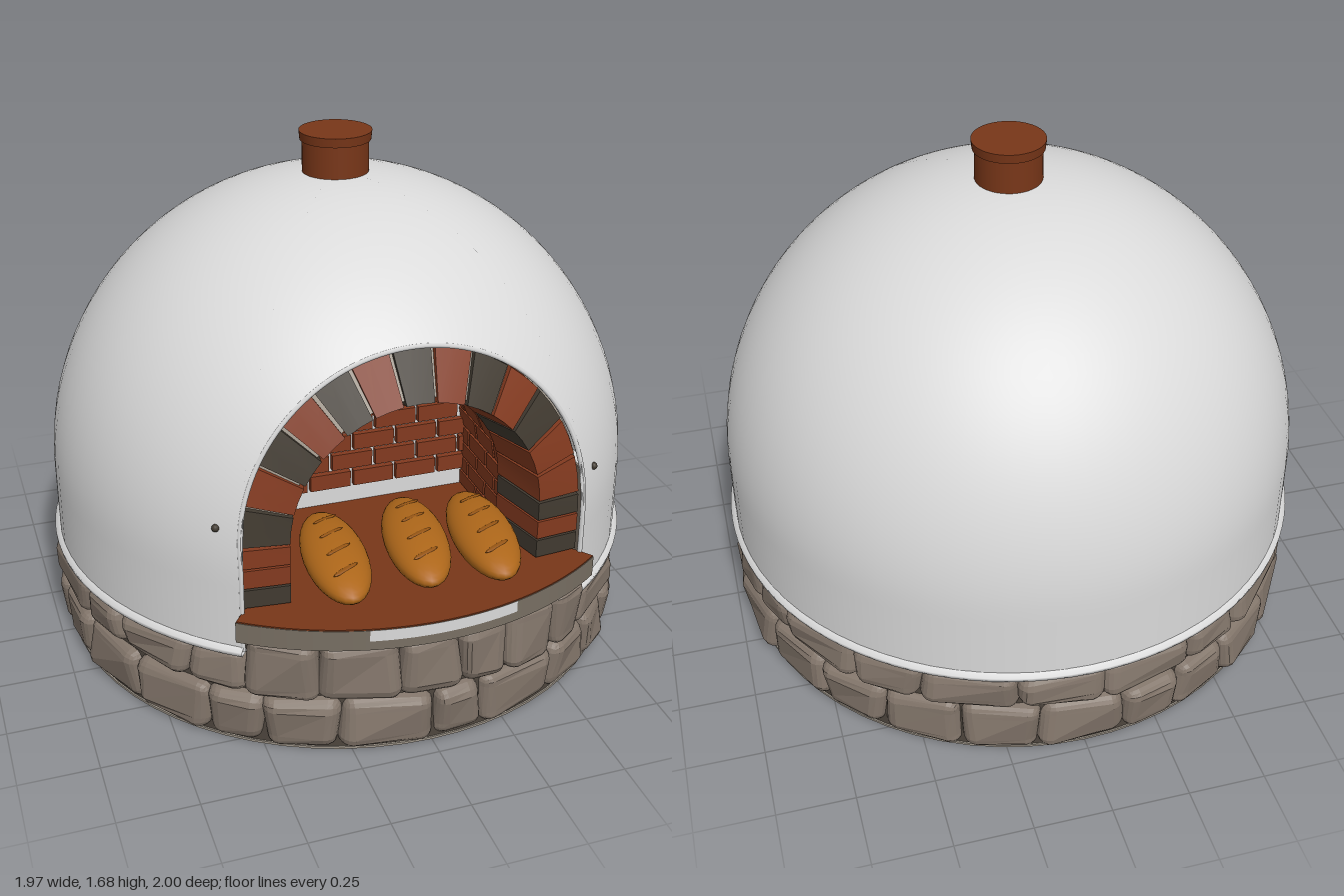
import * as THREE from 'three';
import { RoundedBoxGeometry } from 'three/addons/geometries/RoundedBoxGeometry.js';

const mat = (name, color, opts = {}) => {
  const m = new THREE.MeshStandardMaterial({ color, ...opts });
  m.name = name;
  return m;
};

const R = 0.968, SPRING = 0.588, BASE_Y = 0.345;     // dome radius, start of curve, foot
const ARCH_Y = 0.68, ARCH_R = 0.552;                 // arch centre height, opening radius
const STEP = Math.PI / 13, DROP = 0.2 / (3 * STEP);  // arch brick angle, jamb height per radian
const A0 = -3 * STEP, A1 = Math.PI + 3 * STEP;       // arch path including both jambs

// Point on the arch path: straight jambs below, half circle above
function archPoint(a, r) {
  if (a < 0) return [r, ARCH_Y + a * DROP];
  if (a > Math.PI) return [-r, ARCH_Y - (a - Math.PI) * DROP];
  return [r * Math.cos(a), ARCH_Y + r * Math.sin(a)];
}

// Dome depth at a front position
function domeZ(x, y) {
  const h = Math.max(0, y - SPRING);
  return Math.sqrt(Math.max(0, R * R - h * h - x * x));
}

// Box bent along the arch path; inner radius may differ at front and back
function archBlock(a, da, rFront, rBack, rOut, zBack, zFront, seg = 1) {
  const g = new THREE.BoxGeometry(1, 1, 1, seg, 1, 1), p = g.attributes.position;
  for (let i = 0; i < p.count; i++) {
    const front = p.getZ(i) > 0;
    const r = p.getY(i) > 0 ? rOut : front ? rFront : rBack;
    const [x, y] = archPoint(a - p.getX(i) * da, r);
    p.setXYZ(i, x, y, front ? zFront(x, y) : zBack);
  }
  g.computeVertexNormals();
  return g;
}

// Dome as meridians that start at the foot or at the edge of the opening
function domeGeometry() {
  const alphaOf = y => (y < SPRING ? (y - SPRING) / R : Math.asin((y - SPRING) / R));
  const foot = alphaOf(BASE_Y), edge = Math.asin(ARCH_R / R);
  const half = [];
  for (let i = 0; i <= 24; i++) {
    const [x, y] = archPoint(Math.PI / 2 * (1 - i / 24), ARCH_R);
    half.push([Math.min(edge, Math.asin(x / (R * Math.cos(alphaOf(y))))), alphaOf(y)]);
  }
  const cols = half.slice();
  for (let i = 0; i <= 60; i++) cols.push([edge + (2 * Math.PI - 2 * edge) * i / 60, foot]);
  half.reverse().forEach(([f, a]) => cols.push([2 * Math.PI - f, a]));
  const N = 32, pos = [], nor = [], idx = [];
  cols.forEach(([f, a0], c) => {
    for (let j = 0; j <= N; j++) {
      const a = a0 + (Math.PI / 2 - a0) * j / N, up = Math.max(0, a);
      const n = [Math.cos(up) * Math.sin(f), Math.sin(up), Math.cos(up) * Math.cos(f)];
      nor.push(...n);
      pos.push(R * n[0], SPRING + (a < 0 ? R * a : R * n[1]), R * n[2]);
      if (c && j < N) {
        const q = c * (N + 1) + j, p = q - N - 1;
        idx.push(p, q, q + 1, p, q + 1, p + 1);
      }
    }
  });
  const g = new THREE.BufferGeometry();
  g.setAttribute('position', new THREE.Float32BufferAttribute(pos, 3));
  g.setAttribute('normal', new THREE.Float32BufferAttribute(nor, 3));
  g.setIndex(idx);
  return g;
}

export function createModel() {
  const model = new THREE.Group();
  model.name = 'breadOven';
  const plaster = mat('white plaster', 0xdadada, { side: THREE.DoubleSide });
  const stone = mat('field stone', 0x82756a, { flatShading: true });
  const core = mat('dark joint', 0x4c443c);
  const ledgeMat = mat('ledge stone', 0x786f63);
  const red = mat('red brick', 0x833a1f);
  const dark = mat('dark brick', 0x413a30);
  const mortar = mat('grey mortar', 0x9d9488);
  const clay = mat('terracotta', 0x783618);
  const crust = mat('bread crust', 0xae671a);
  const cut = mat('bread cut', 0x945413);

  const body = new THREE.Group();
  body.name = 'oven';
  body.position.z = -0.013;
  model.add(body);
  const add = (name, geo, m, parent = body) => {
    const mesh = new THREE.Mesh(geo, m);
    mesh.name = name;
    parent.add(mesh);
    return mesh;
  };
  let seed = 7;
  const rand = () => (seed = (seed * 16807) % 2147483647) / 2147483647;

  // Dome, foot rim and plaster lip round the opening
  add('dome', domeGeometry(), plaster);
  const edge = Math.asin(ARCH_R / R);
  const rim = [[0.94, 0.335], [0.982, 0.335], [0.985, 0.35], [0.967, 0.36]].map(p => new THREE.Vector2(...p));
  add('domeRim', new THREE.LatheGeometry(rim, 80, edge, 2 * Math.PI - 2 * edge), plaster);
  const lip = [];
  for (let i = 0; i <= 40; i++) {
    const [x, y] = archPoint(A0 + (A1 - A0) * i / 40, ARCH_R);
    lip.push(new THREE.Vector3(x, y, domeZ(x, y) - 0.007));
  }
  const footPoint = s => new THREE.Vector3(s * ARCH_R, BASE_Y, domeZ(ARCH_R, BASE_Y) - 0.007);
  const lipCurve = new THREE.CatmullRomCurve3([footPoint(1), ...lip, footPoint(-1)]);
  add('openingLip', new THREE.TubeGeometry(lipCurve, 90, 0.008, 6), plaster);

  // Chimney
  add('chimneyPipe', new THREE.CylinderGeometry(0.108, 0.108, 0.14, 40), clay).position.set(0, 1.59, -0.007);
  add('chimneyCap', new THREE.CylinderGeometry(0.118, 0.115, 0.03, 40), clay).position.set(0, 1.67, -0.007);

  // Base core with a pale underside and a raised front under the ledge
  add('baseCore', new THREE.CylinderGeometry(0.93, 0.945, 0.336, 64), core).position.y = 0.172;
  add('underside', new THREE.CylinderGeometry(0.95, 0.95, 0.008, 64), mortar).position.y = 0.004;
  add('frontCore', new THREE.CylinderGeometry(0.935, 0.935, 0.1, 24, 1, false, -0.58, 1.16), core).position.y = 0.36;

  // Rounded, slightly uneven stones set in courses
  const stones = new THREE.Group();
  stones.name = 'baseStones';
  body.add(stones);
  function course(from, to, count, y0, y1, radius) {
    const widths = Array.from({ length: count }, () => 0.7 + 0.6 * rand());
    const unit = (to - from) / widths.reduce((s, w) => s + w, 0);
    let f = from;
    for (const w of widths) {
      const span = w * unit, h = y1 - y0 - 0.002 - 0.008 * rand(), k = rand() * 40;
      const g = new RoundedBoxGeometry(span * radius - 0.006, h, 0.17, 2, 0.042), p = g.attributes.position;
      for (let i = 0; i < p.count; i++) {
        const x = p.getX(i), y = p.getY(i), z = p.getZ(i);
        const n = q => Math.sin(x * 13 + y * 17 * q + z * 9 + k * q);
        p.setXYZ(i, x + 0.007 * n(1.3), y + 0.003 * n(2.1), z + 0.008 * n(1.7) - x * x * 0.5);
      }
      g.computeVertexNormals();
      const s = add('baseStone', g, stone, stones), mid = f + span / 2, d = radius - 0.088 + 0.012 * (rand() - 0.5);
      s.position.set(d * Math.sin(mid), (y0 + y1) / 2, d * Math.cos(mid));
      s.rotation.y = mid;
      f += span;
    }
  }
  course(0, 2 * Math.PI, 25, 0.008, 0.192, 0.978);
  course(edge, 2 * Math.PI - edge, 19, 0.192, 0.338, 0.98);
  course(-edge, edge, 6, 0.192, 0.408, 0.995);

  // Ledge, its worn edge and the hearth floor
  const slab = (pts, depth, top) => {
    const g = new THREE.ExtrudeGeometry(new THREE.Shape(pts), { depth, bevelEnabled: false });
    return g.rotateX(-Math.PI / 2).translate(0, top - depth, 0);
  };
  const arc = (r, w) => Array.from({ length: 33 }, (_, i) => {
    const f = w * (i / 16 - 1);
    return new THREE.Vector2(r * Math.sin(f), -r * Math.cos(f));
  });
  add('ledge', slab([...arc(1.01, 0.615), ...arc(0.74, 0.615).reverse()], 0.068, 0.474), ledgeMat);
  const v = (x, z) => new THREE.Vector2(x, -z);
  add('hearthFloor', slab([...arc(1.008, 0.613), v(0.5, 0.72), v(0.4, 0.72), v(0.4, 0.24), v(-0.4, 0.24), v(-0.4, 0.72), v(-0.5, 0.72)], 0.006, 0.478), clay);
  const worn = [new THREE.Vector2(1.012, 0.438), new THREE.Vector2(1.012, 0.475)];
  add('wornLedgeEdge', new THREE.LatheGeometry(worn, 16, -0.22, 0.47), plaster);

  // Arch of alternating bricks over a mortar bed
  const front = inset => (x, y) => Math.min(domeZ(x, y) - 0.028, 0.787) - inset;
  const mid = (A0 + A1) / 2;
  add('archMortar', archBlock(mid, A1 - A0, 0.41, 0.365, 0.55, 0.6, front(0.018), 76), mortar);
  const pattern = 'drdrrdrdrdrdrdrdrrd';   // from the foot of the left jamb (+x) over to the other
  for (let i = 0; i < 19; i++) {
    const a = A0 + STEP * (i + 0.5);
    add('archBrick', archBlock(a, STEP * 0.9, 0.4, 0.352, 0.542, 0.58, front(0), 2), pattern[i] === 'd' ? dark : red);
  }

  // Chamber vault and its bricks
  const flat = z => () => z;
  add('vaultMortar', archBlock(mid, A1 - A0, 0.37, 0.37, 0.4, 0.24, flat(0.62), 60), plaster);
  const rows = 23, rowStep = (A1 - A0) / rows;
  for (let i = 0; i < rows; i++) {
    for (let z = 0.26 - (i % 2) * 0.07; z < 0.58; z += 0.14) {
      const z0 = Math.max(z, 0.255), z1 = Math.min(z + 0.128, 0.59);
      add('vaultBrick', archBlock(A0 + rowStep * (i + 0.5), rowStep * 0.86, 0.36, 0.36, 0.385, z0, flat(z1)), red);
    }
  }

  // Back wall
  const wall = new THREE.Shape(Array.from({ length: 41 }, (_, i) => new THREE.Vector2(...archPoint(A0 + (A1 - A0) * i / 40, 0.4))));
  add('backWallMortar', new THREE.ShapeGeometry(wall, 1), plaster).position.z = 0.26;
  for (let i = 0; i < 7; i++) {
    const y = 0.575 + i * 0.067, h = Math.max(0, y + 0.02 - ARCH_Y);
    const w = Math.sqrt(Math.max(0, 0.372 ** 2 - h * h));
    for (let x = -0.48 + (i % 2) * 0.075; x < 0.45; x += 0.15) {
      const x0 = Math.max(x, -w), x1 = Math.min(x + 0.139, w);
      if (x1 - x0 < 0.02) continue;
      add('backWallBrick', new THREE.BoxGeometry(x1 - x0, 0.055, 0.03), red).position.set((x0 + x1) / 2, y, 0.265);
    }
  }

  // Loaves with slanting cuts
  for (const [x, z, turn] of [[-0.22, 0.655, -0.1], [0.05, 0.645, -0.17], [0.265, 0.675, -0.13]]) {
    const loaf = new THREE.Group();
    loaf.name = 'loaf';
    loaf.position.set(x, 0.53, z);
    loaf.rotation.y = turn;
    body.add(loaf);
    add('loafBody', new THREE.SphereGeometry(1, 28, 18), crust, loaf).scale.set(0.1, 0.061, 0.255);
    for (let i = -1.5; i < 2; i++) {
      const c = add('loafCut', new THREE.SphereGeometry(1, 12, 8), cut, loaf), d = i * 0.1;
      c.scale.set(0.05, 0.005, 0.009);
      c.position.set(0, 0.061 * Math.sqrt(1 - (d / 0.255) ** 2) - 0.003, d);
      c.rotation.set(d * 0.9, 0.55, 0);
    }
  }

  // Small dark fixings beside the opening
  for (const [x, y] of [[-0.61, 0.75], [0.605, 0.75], [0.6, 0.415]]) {
    add('fixing', new THREE.SphereGeometry(0.012, 10, 8), dark).position.set(x, y, domeZ(x, y));
  }
  return model;
}
